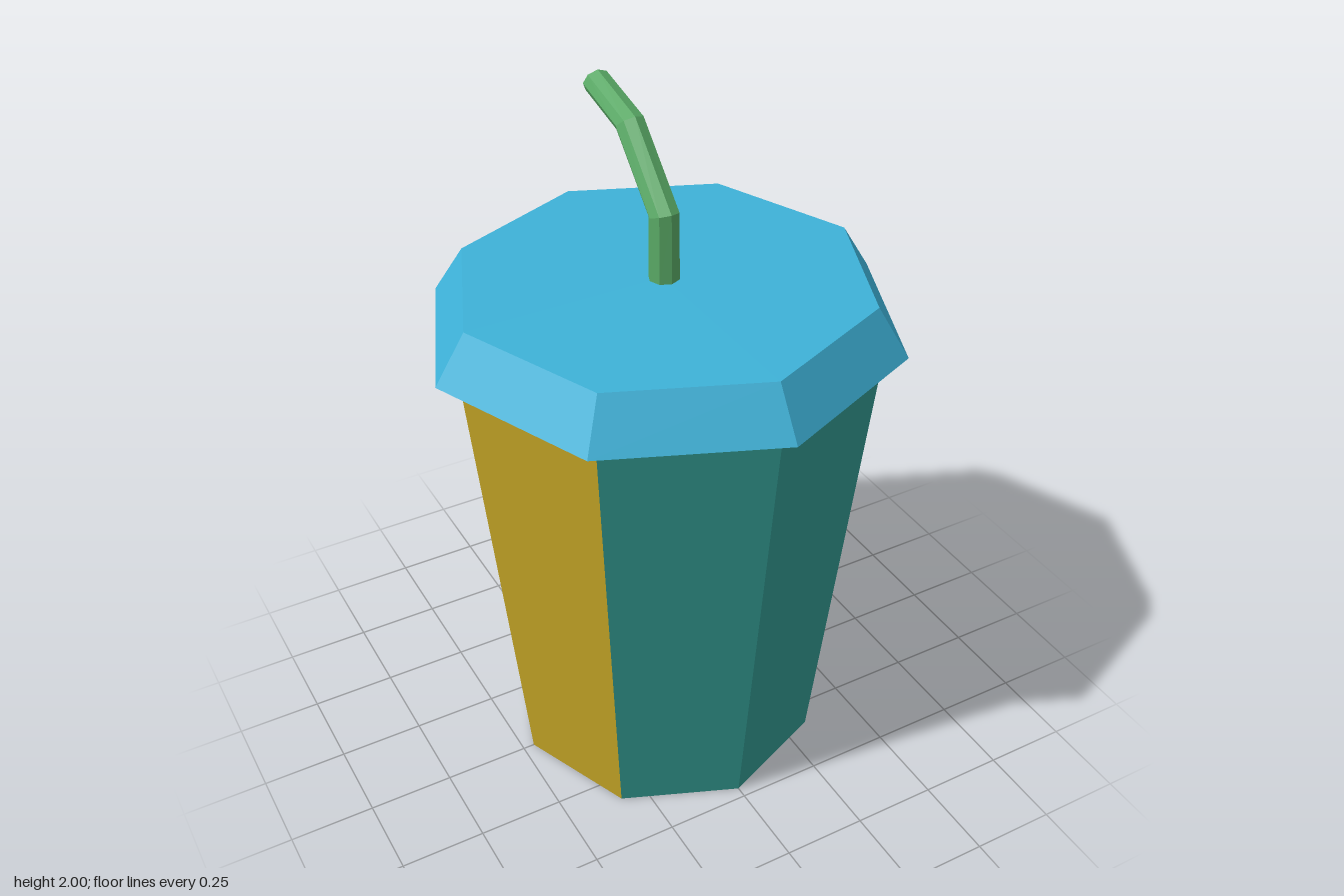
import * as THREE from 'three';

const SIDES = 8;

function material(name, color) {
  const m = new THREE.MeshStandardMaterial({ color });
  m.name = name;
  return m;
}

// Split the vertices so that every facet is shaded flat
function faceted(geometry) {
  const flat = geometry.toNonIndexed();
  flat.computeVertexNormals();
  return flat;
}

function part(name, geometry, mat) {
  const mesh = new THREE.Mesh(faceted(geometry), mat);
  mesh.name = name;
  return mesh;
}

// Bent tube: each ring is [y, z, half-axis y, half-axis z, half-width x]
function bentTube(rings) {
  const positions = [], index = [];
  for (const [y, z, ay, az, rx] of rings) {
    for (let i = 0; i < SIDES; i++) {
      const t = (i / SIDES) * Math.PI * 2;
      positions.push(Math.sin(t) * rx, y + Math.cos(t) * ay, z + Math.cos(t) * az);
    }
  }
  for (let r = 0; r < rings.length - 1; r++) {
    for (let i = 0; i < SIDES; i++) {
      const a = r * SIDES + i, b = r * SIDES + ((i + 1) % SIDES);
      index.push(a, b, b + SIDES, a, b + SIDES, a + SIDES);
    }
  }
  const sideCount = index.length;
  // End cap
  const last = (rings.length - 1) * SIDES;
  for (let i = 1; i < SIDES - 1; i++) index.push(last, last + i, last + i + 1);

  const g = new THREE.BufferGeometry();
  g.setAttribute('position', new THREE.Float32BufferAttribute(positions, 3));
  g.setIndex(index);
  g.addGroup(0, sideCount, 0);
  g.addGroup(sideCount, index.length - sideCount, 1);
  return g;
}

export function createModel() {
  const teal = material('teal', 0x329990);
  const gold = material('gold', 0xc4a426);
  const cream = material('cream', 0xd7d284);
  const blue = material('lid blue', 0x3eb2d8);
  const green = material('straw green', 0x5aaa66);

  const model = new THREE.Group();
  model.name = 'drinkCup';

  // Tapered cup: one colour per panel, starting at the front and going round by +x
  const cup = new THREE.CylinderGeometry(0.607, 0.466, 1.405, SIDES);
  cup.translate(0, 0.7025, 0);
  cup.clearGroups();
  [0, 0, 1, 2, 1, 2, 1, 0].forEach((colour, i) => cup.addGroup(i * 6, 6, colour));
  cup.addGroup(SIDES * 6, SIDES * 6, 3); // both end caps
  model.add(part('cup', cup, [teal, gold, cream, blue]));

  // Lid with a sloping rim
  const lid = new THREE.CylinderGeometry(0.583, 0.672, 0.14, SIDES);
  lid.translate(0, 1.475, 0);
  model.add(part('lid', lid, blue));

  // Straw with two mitred bends toward the back
  const straw = bentTube([
    [1.53, 0, 0, 0.044, 0.044],
    [1.732, 0, 0.015, 0.041, 0.043],
    [1.918, -0.185, 0.0285, 0.03, 0.042],
    [1.965, -0.378, 0.035, 0.011, 0.04],
  ]);
  model.add(part('straw', straw, [green, blue]));

  return model;
}
